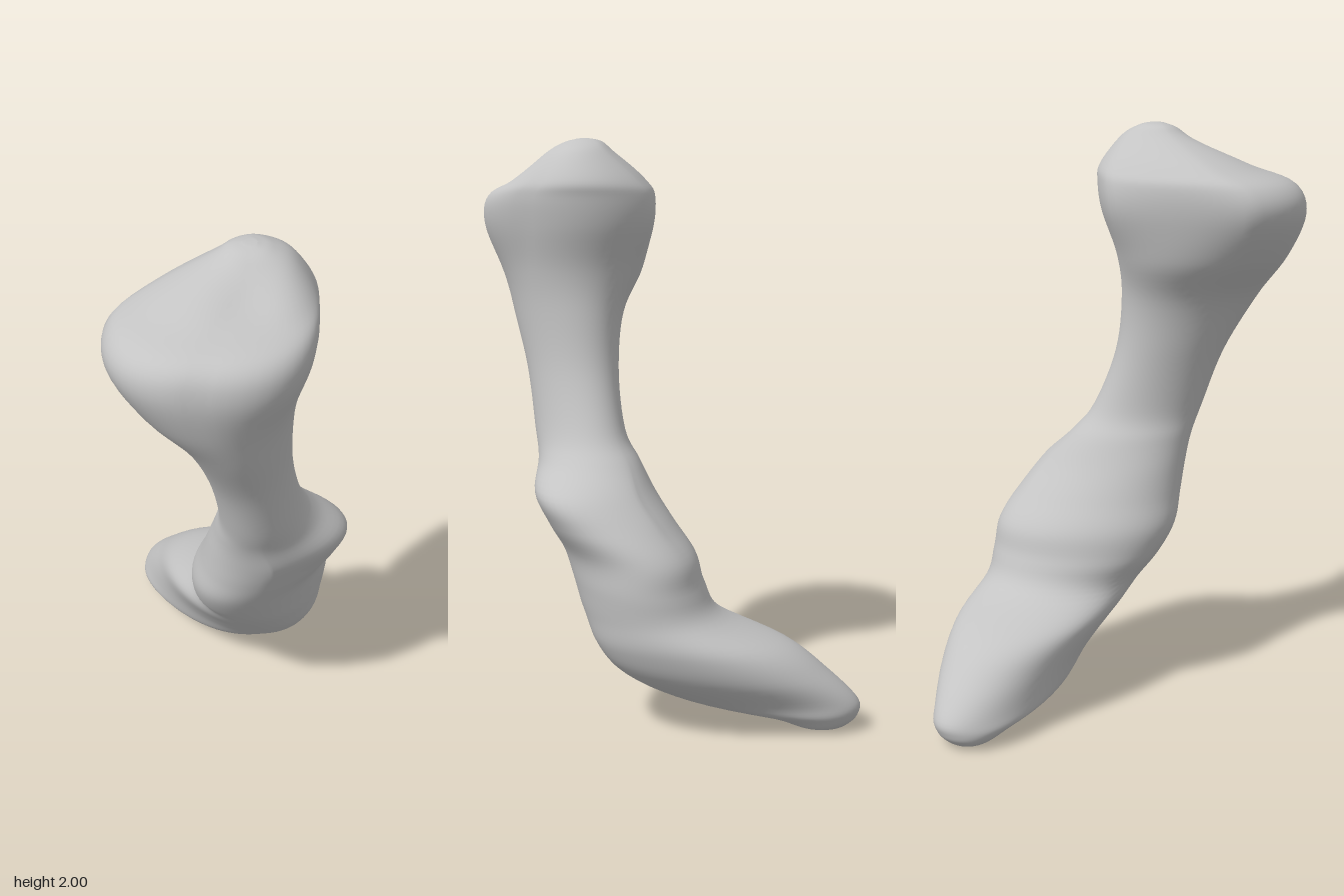
import * as THREE from 'three';

// Cross-sections from foot to head: y, xMin, xMax, zMin, zMax, diagonal skew
const SECTIONS = [
  [0, -0.34, -0.28, -0.61, -0.55, 0],
  [0.015, -0.39, -0.20, -0.65, -0.49, 0.05],
  [0.05, -0.415, -0.12, -0.68, -0.38, 0.28],
  [0.1, -0.405, 0.06, -0.685, -0.15, 0.58],
  [0.2, -0.345, 0.23, -0.63, -0.03, 0.48],
  [0.3, -0.275, 0.30, -0.545, 0.06, 0.28],
  [0.4, -0.145, 0.32, -0.39, 0.145, -0.08],
  [0.5, -0.14, 0.335, -0.345, 0.22, -0.25],
  [0.6, -0.135, 0.345, -0.32, 0.28, -0.28],
  [0.7, -0.10, 0.39, -0.24, 0.315, -0.25],
  [0.8, -0.07, 0.405, -0.15, 0.345, -0.2],
  [0.9, -0.04, 0.31, -0.06, 0.37, -0.14],
  [1.0, -0.02, 0.26, 0.02, 0.41, -0.1],
  [1.2, -0.05, 0.228, 0.09, 0.48, -0.06],
  [1.4, -0.12, 0.228, 0.105, 0.585, -0.1],
  [1.55, -0.255, 0.245, 0.075, 0.655, -0.12],
  [1.7, -0.35, 0.28, 0.02, 0.69, -0.15],
  [1.8, -0.335, 0.295, 0.01, 0.655, -0.15],
  [1.86, -0.235, 0.28, 0.03, 0.515, -0.16],
  [1.95, -0.05, 0.215, 0.11, 0.355, -0.1],
  [1.988, 0.01, 0.15, 0.165, 0.295, 0],
  [2.0, 0.06, 0.10, 0.21, 0.25, 0],
];

// Smooth closed loft through the skewed elliptical sections
function loft(sections, rings, sides) {
  const curve = (pick) => new THREE.CatmullRomCurve3(
    sections.map((s) => new THREE.Vector3(...pick(s))), false, 'catmullrom', 0.5);
  const xs = curve((s) => [s[0], s[1], s[2]]);
  const zs = curve((s) => [s[3], s[4], s[5]]);
  const pos = [], index = [];
  for (let i = 0; i <= rings; i++) {
    const a = xs.getPoint(i / rings), b = zs.getPoint(i / rings);
    const cx = (a.y + a.z) / 2, hx = (a.z - a.y) / 2;
    const cz = (b.x + b.y) / 2, hz = (b.y - b.x) / 2, k = b.z;
    // the side knob is pointed, the head is flat at the back right and full at the front left
    const knob = 0.5 * Math.exp(-(((a.x - 0.78) / 0.12) ** 2));
    const full = 0.042 * Math.exp(-(((a.x - 1.73) / 0.17) ** 2));
    for (let j = 0; j < sides; j++) {
      const t = (j / sides) * Math.PI * 2;
      const c = Math.cos(t), shift = full * Math.max(0, Math.sin(2 * t));
      const x = cx + hx * (c > 0 ? c ** (1 + knob) : c) + shift;
      const z = cz + hz * (k * c + Math.sqrt(1 - k * k) * Math.sin(t)) + shift;
      // shallow hollow between the two knuckles of the head
      const dip = a.x > 1.72 ? 0.03 * Math.exp(-((x - 0.1) ** 2 + (z - 0.4) ** 2) / 0.012) : 0;
      pos.push(x, a.x - dip, z);
    }
  }
  for (let i = 0; i < rings; i++) {
    for (let j = 0; j < sides; j++) {
      const p = i * sides + j, q = i * sides + (j + 1) % sides;
      index.push(p, p + sides, q, q, p + sides, q + sides);
    }
  }
  // end caps
  const top = rings * sides;
  for (let j = 1; j < sides - 1; j++) {
    index.push(0, j, j + 1, top, top + j + 1, top + j);
  }
  const geo = new THREE.BufferGeometry();
  geo.setAttribute('position', new THREE.Float32BufferAttribute(pos, 3));
  geo.setIndex(index);
  geo.computeVertexNormals();
  return geo;
}

export function createModel() {
  const group = new THREE.Group();
  group.name = 'bone';
  const grey = new THREE.MeshStandardMaterial({ color: 0xc4c4c4 });
  grey.name = 'light grey';
  const body = new THREE.Mesh(loft(SECTIONS, 126, 56), grey);
  body.name = 'boneBody';
  group.add(body);
  return group;
}
